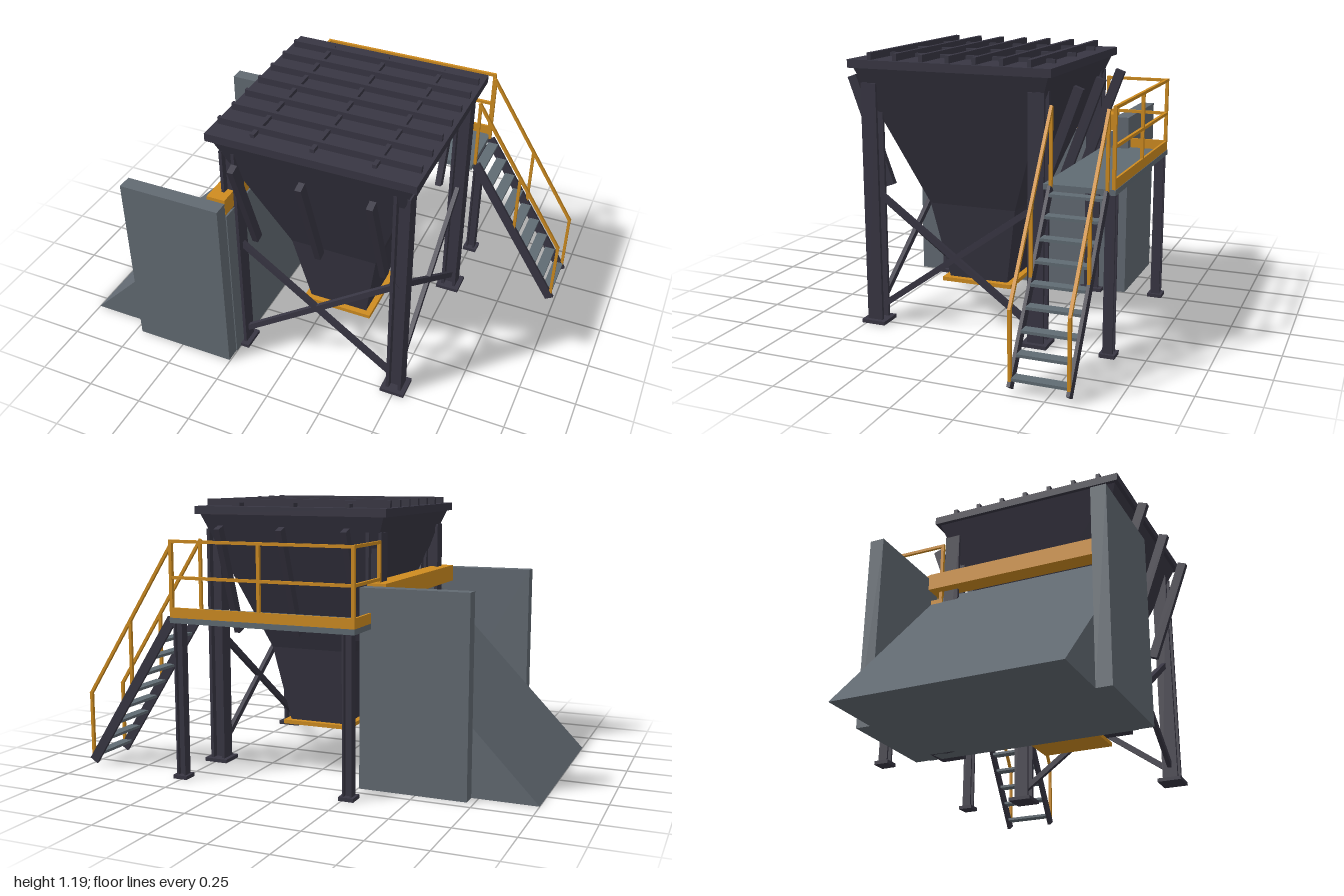
import * as THREE from 'three';

const mat = (name, color) => {
  const m = new THREE.MeshStandardMaterial({ color });
  m.name = name;
  return m;
};

export function createModel() {
  const steel = mat('dark steel', 0x383643);
  const concrete = mat('concrete grey', 0x626a72);
  const deckGrey = mat('deck grey', 0x606b73);
  const orange = mat('safety orange', 0xcf8c20);

  const root = new THREE.Group();
  root.name = 'hopperStation';
  const CX = 0.115, CZ = 0.09; // hopper axis

  const group = (name) => {
    const g = new THREE.Group();
    g.name = name;
    root.add(g);
    return g;
  };
  const add = (parent, name, geo, material) => {
    const m = new THREE.Mesh(geo, material);
    m.name = name;
    parent.add(m);
    return m;
  };
  // Box given by its limits on each axis
  const box = (parent, name, material, x0, x1, y0, y1, z0, z1) => {
    const m = add(parent, name, new THREE.BoxGeometry(x1 - x0, y1 - y0, z1 - z0), material);
    m.position.set((x0 + x1) / 2, (y0 + y1) / 2, (z0 + z1) / 2);
    return m;
  };
  // Rectangular bar between two points
  const bar = (parent, name, material, a, b, w, d = w) => {
    const p = new THREE.Vector3(...a), q = new THREE.Vector3(...b);
    const dir = q.clone().sub(p);
    const m = add(parent, name, new THREE.BoxGeometry(w, dir.length(), d), material);
    m.position.copy(p).add(q).multiplyScalar(0.5);
    m.quaternion.setFromUnitVectors(new THREE.Vector3(0, 1, 0), dir.normalize());
    return m;
  };
  // Square frustum centred on the hopper axis
  const frustum = (parent, name, y0, y1, h0, h1) => {
    const geo = new THREE.CylinderGeometry(h1 * Math.SQRT2, h0 * Math.SQRT2, y1 - y0, 4).toNonIndexed();
    geo.rotateY(Math.PI / 4);
    geo.computeVertexNormals();
    add(parent, name, geo, steel).position.set(CX, (y0 + y1) / 2, CZ);
  };
  // I-section column on a base plate
  const column = (parent, x, z, size, top, plate) => {
    const h = size / 2, t = size * 0.2;
    for (const s of [-1, 1]) {
      const c = x + s * (h - t / 2);
      box(parent, 'columnFlange', steel, c - t / 2, c + t / 2, 0, top, z - h, z + h);
    }
    box(parent, 'columnWeb', steel, x - h + t, x + h - t, 0, top, z - t / 2, z + t / 2);
    box(parent, 'basePlate', steel, x - plate, x + plate, 0, 0.016, z - plate, z + plate);
  };

  // Hopper bin, rim and discharge gate
  const hopper = group('hopper');
  frustum(hopper, 'upperBin', 0.51, 1.125, 0.2, 0.432);
  frustum(hopper, 'lowerBin', 0.155, 0.51, 0.137, 0.2);
  box(hopper, 'rim', steel, CX - 0.45, CX + 0.45, 1.125, 1.16, CZ - 0.45, CZ + 0.45);
  box(hopper, 'gate', orange, CX - 0.165, CX + 0.165, 0.142, 0.16, CZ - 0.165, CZ + 0.165);

  // Screen bars over the bin
  const screen = group('screen');
  for (let i = -3; i <= 3; i++) {
    const z = CZ + i * 0.118;
    box(screen, 'crossBar', steel, CX - 0.435, CX + 0.435, 1.16, 1.19, z - 0.009, z + 0.009);
  }
  for (let i = -1; i <= 1; i++) {
    const x = CX + i * 0.26;
    box(screen, 'longBar', steel, x - 0.009, x + 0.009, 1.16, 1.176, CZ - 0.402, CZ + 0.402);
  }

  // Sloping stiffeners on the front and back
  const stiffeners = group('stiffeners');
  for (const s of [-1, 1]) for (let i = -1; i <= 1; i++) {
    const x = CX + i * 0.295;
    bar(stiffeners, 'stiffener', steel, [x, 0.6, CZ + s * 0.343], [x, 1.072, CZ + s * 0.515], 0.027, 0.042);
  }

  // Main legs and cross braces
  const frame = group('supportFrame');
  for (const sx of [-1, 1]) for (const sz of [-1, 1]) {
    column(frame, CX + sx * 0.38, CZ + sz * 0.375, 0.07, 1.06, 0.055);
  }
  for (const s of [-1, 1]) {
    bar(frame, 'frontBrace', steel, [CX - s * 0.37, 0.065, CZ + 0.375], [CX + s * 0.37, 0.59, CZ + 0.375], 0.026, 0.02);
    bar(frame, 'sideBrace', steel, [CX + 0.38, 0.065, CZ - s * 0.365], [CX + 0.38, 0.59, CZ + s * 0.365], 0.02, 0.026);
  }

  // Ramp with wing walls and stop kerb
  const ramp = group('loadingRamp');
  const profile = new THREE.Shape([[-1, 0], [-0.25, 0], [-0.25, 0.78]].map((p) => new THREE.Vector2(...p)));
  const wedge = new THREE.ExtrudeGeometry(profile, { depth: 0.94, bevelEnabled: false });
  add(ramp, 'rampWedge', wedge, concrete).position.z = -0.382;
  box(ramp, 'frontWingWall', concrete, -0.72, -0.255, 0, 0.845, 0.558, 0.624);
  box(ramp, 'backWingWall', concrete, -0.72, -0.255, 0, 0.845, -0.446, -0.382);
  box(ramp, 'stopKerb', orange, -0.342, -0.258, 0.78, 0.856, -0.376, 0.552);

  // Walkway behind the hopper
  const walkway = group('walkway');
  box(walkway, 'deck', deckGrey, -0.305, 0.54, 0.677, 0.7, -0.62, -0.32);
  box(walkway, 'backToeBoard', orange, -0.305, 0.54, 0.7, 0.743, -0.618, -0.608);
  box(walkway, 'endToeBoard', orange, -0.305, -0.295, 0.7, 0.743, -0.618, -0.325);
  for (const x of [-0.27, 0.505]) column(walkway, x, -0.595, 0.042, 0.677, 0.033);

  // Walkway guard rail
  const guard = group('guardRail');
  for (const [x, z] of [[-0.297, -0.611], [0.12, -0.611], [0.533, -0.611], [-0.297, -0.335]]) {
    bar(guard, 'railPost', orange, [x, 0.7, z], [x, 1.02, z], 0.014);
  }
  for (const y of [0.87, 1.022]) {
    bar(guard, 'backRail', orange, [-0.304, y, -0.611], [0.54, y, -0.611], 0.013);
    bar(guard, 'endRail', orange, [-0.297, y, -0.618], [-0.297, y, -0.328], 0.013);
  }

  // Stairs with stringers, treads and handrails
  const stairs = group('stairs');
  for (const z of [-0.355, -0.588]) {
    bar(stairs, 'stringer', steel, [0.548, 0.69, z], [0.978, 0.022, z], 0.042, 0.014);
    for (const [x, y0, y1] of [[0.545, 0.69, 1.01], [0.762, 0.36, 0.67], [0.979, 0.03, 0.335]]) {
      bar(stairs, 'handrailPost', orange, [x, y0, z], [x, y1, z], 0.013);
    }
    bar(stairs, 'handrail', orange, [0.541, 1.014, z], [0.982, 0.328, z], 0.013);
  }
  for (let i = 0; i < 9; i++) {
    const x = 0.566 + i * 0.0492, y = 0.667 - i * 0.0762;
    box(stairs, 'tread', deckGrey, x - 0.024, x + 0.024, y - 0.006, y + 0.006, -0.581, -0.362);
  }
  return root;
}
